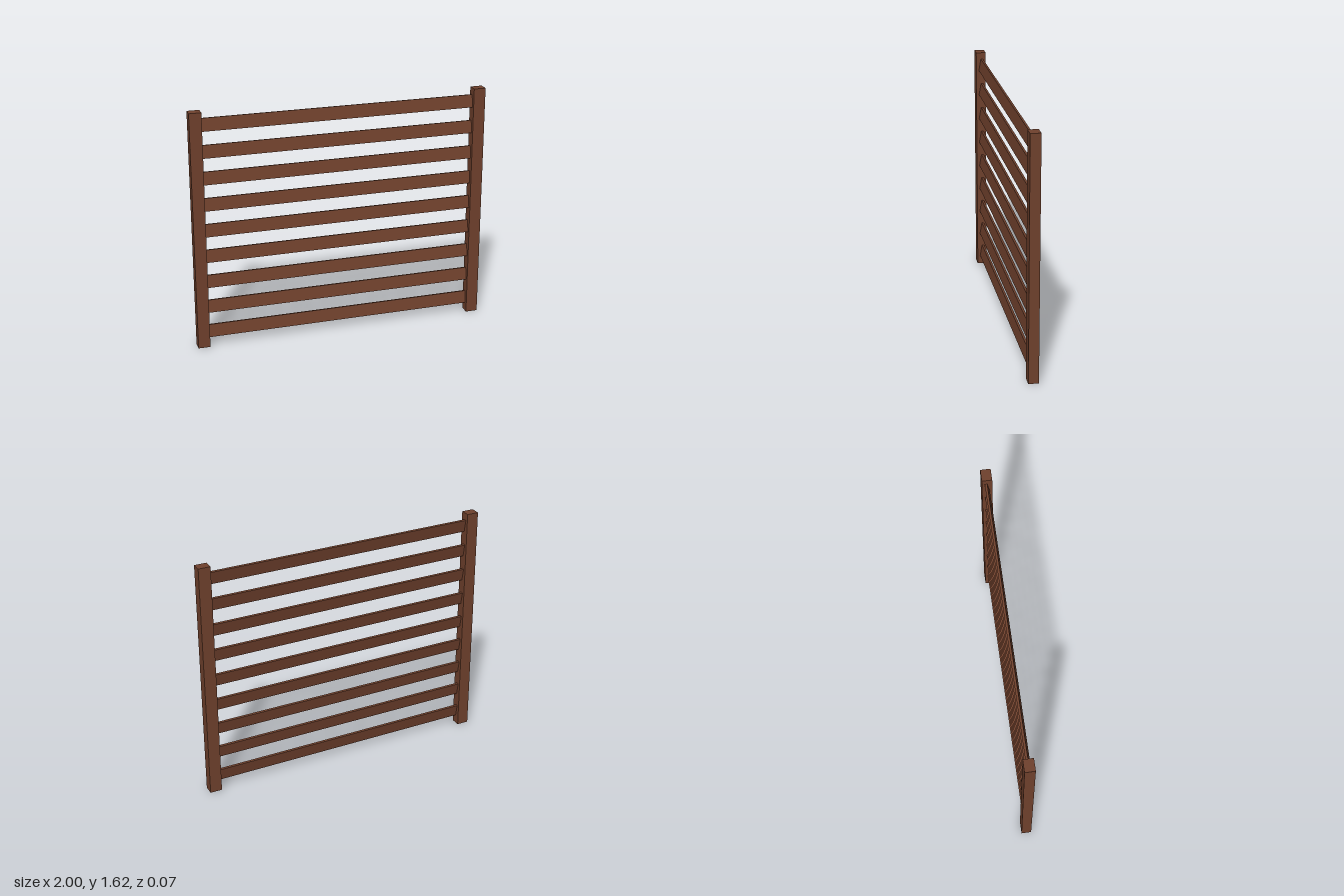
import * as THREE from 'three';

export function createModel() {
  const model = new THREE.Group();
  model.name = 'slattedFence';

  const wood = new THREE.MeshStandardMaterial({ color: 0x70412d });
  wood.name = 'brown wood';

  const addBox = (name, w, h, d, x, y, z = 0) => {
    const mesh = new THREE.Mesh(new THREE.BoxGeometry(w, h, d), wood);
    mesh.name = name;
    mesh.position.set(x, y, z);
    model.add(mesh);
    return mesh;
  };

  // Square posts at both ends
  const height = 1.622, postWidth = 0.081, postDepth = 0.067;
  for (const [name, side] of [['leftPost', 1], ['rightPost', -1]]) {
    addBox(name, postWidth, height, postDepth, side * (1 - postWidth / 2), height / 2);
  }

  // Thin horizontal slats, tops leaning back a little
  const count = 9, firstY = 0.104, spacing = 0.1786;
  const span = 2 * (1 - postWidth);
  for (let i = 0; i < count; i++) {
    const slat = addBox(`slat${i + 1}`, span, 0.0865, 0.016, 0, firstY + i * spacing);
    slat.rotation.x = -THREE.MathUtils.degToRad(10);
  }

  return model;
}
